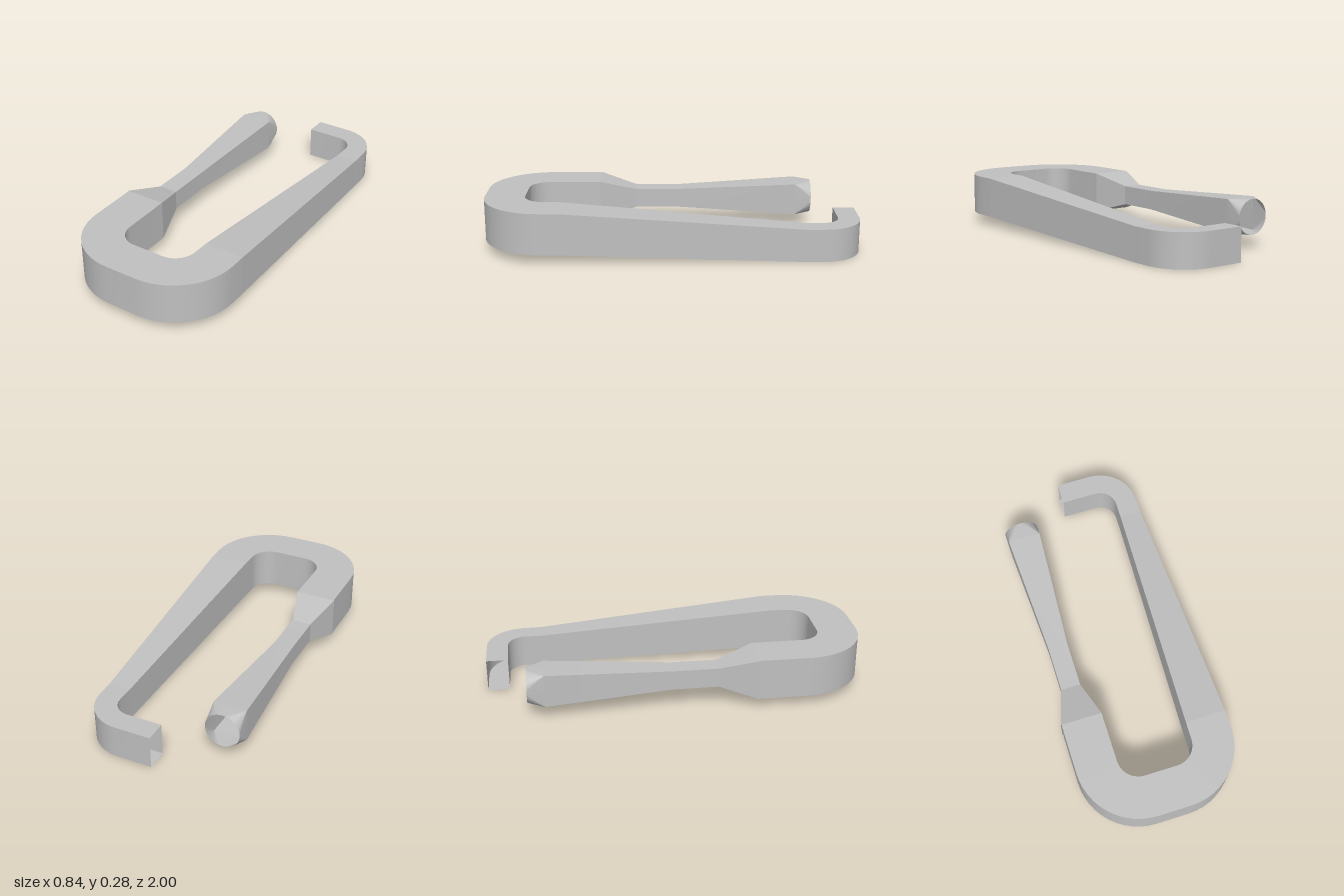
import * as THREE from 'three';
import { toCreasedNormals } from 'three/addons/utils/BufferGeometryUtils.js';

// Skin a list of equal-length rings of [x, y, z] points, open at both ends
function loft(rings) {
  const pos = [];
  const same = (p, q) => Math.hypot(p[0] - q[0], p[1] - q[1], p[2] - q[2]) < 1e-5;
  const tri = (a, b, c) => {
    if (!same(a, b) && !same(b, c) && !same(a, c)) pos.push(...a, ...b, ...c);
  };
  for (let r = 0; r < rings.length - 1; r++) {
    const n = rings[r].length;
    for (let i = 0; i < n; i++) {
      const j = (i + 1) % n;
      tri(rings[r][i], rings[r][j], rings[r + 1][i]);
      tri(rings[r][j], rings[r + 1][j], rings[r + 1][i]);
    }
  }
  const geo = new THREE.BufferGeometry();
  geo.setAttribute('position', new THREE.Float32BufferAttribute(pos, 3));
  return toCreasedNormals(geo, 0.2);
}

// Rectangular section between an outer and an inner plan point
const section = (ox, oz, ix, iz, yb, yt) =>
  [[ox, yt, oz], [ox, yb, oz], [ix, yb, iz], [ix, yt, iz]];

// Sections around a 90 degree corner
function corner(cx, cz, rOut, rIn, from, to, yb, yt) {
  const out = [], steps = 12;
  for (let i = 0; i <= steps; i++) {
    const a = from + (to - from) * i / steps, c = Math.cos(a), s = Math.sin(a);
    out.push(section(cx + rOut * c, cz + rOut * s, cx + rIn * c, cz + rIn * s, yb, yt));
  }
  return out;
}

export function createModel() {
  const group = new THREE.Group();
  const metal = new THREE.MeshStandardMaterial({ color: 0xc0c0c0, side: THREE.DoubleSide });
  metal.name = 'grey metal';
  const add = (name, rings) => {
    const mesh = new THREE.Mesh(loft(rings), metal);
    mesh.name = name;
    group.add(mesh);
  };

  const armX = -0.313, armY = 0.165, H = Math.PI / 2;
  const square = (z, h) => section(armX - h, z, armX + h, z, armY - h, armY + h);

  // Short arm: square bar that necks down and widens again
  add('shortArm', [square(-0.7, 0.088), square(-0.04, 0.0525), square(0.2, 0.0525), square(0.4, 0.11)]);

  // Round mouth: four corner fans blending the square bar into a circle
  const rim = [], base = [];
  for (let q = 0; q < 4; q++) {
    const m = (q + 0.5) * H, sx = Math.sign(Math.cos(m)), sy = Math.sign(Math.sin(m));
    for (let i = 0; i <= 8; i++) {
      const a = (q + i / 8) * H;
      rim.push([armX + 0.0925 * Math.cos(a), armY + 0.0925 * Math.sin(a), -0.79]);
      base.push([armX + 0.088 * sx, armY + 0.088 * sy, -0.7]);
    }
  }
  add('roundMouth', [rim, base]);

  // Wide U-shaped bend at the front
  add('frontBend', [
    section(-0.42, 0.4, -0.203, 0.4, 0.055, 0.275),
    ...corner(-0.09, 0.67, 0.33, 0.113, Math.PI, H, 0.055, 0.275),
    ...corner(0.085, 0.67, 0.33, 0.113, H, 0, 0.055, 0.275),
    section(0.415, 0.58, 0.2, 0.58, 0.055, 0.275),
  ]);

  // Long tapering arm, sloping down to the back
  add('longArm', [
    section(0.415, 0.58, 0.2, 0.58, 0.055, 0.275),
    section(0.367, -0.7, 0.249, -0.7, 0, 0.175),
  ]);

  // Hooked end with an open tip
  add('hook', [
    section(0.367, -0.7, 0.249, -0.7, 0, 0.175),
    ...corner(0.155, -0.79, 0.21, 0.095, 0, -H, 0, 0.175),
    section(-0.035, -1, -0.035, -0.885, 0, 0.175),
  ]);

  return group;
}
